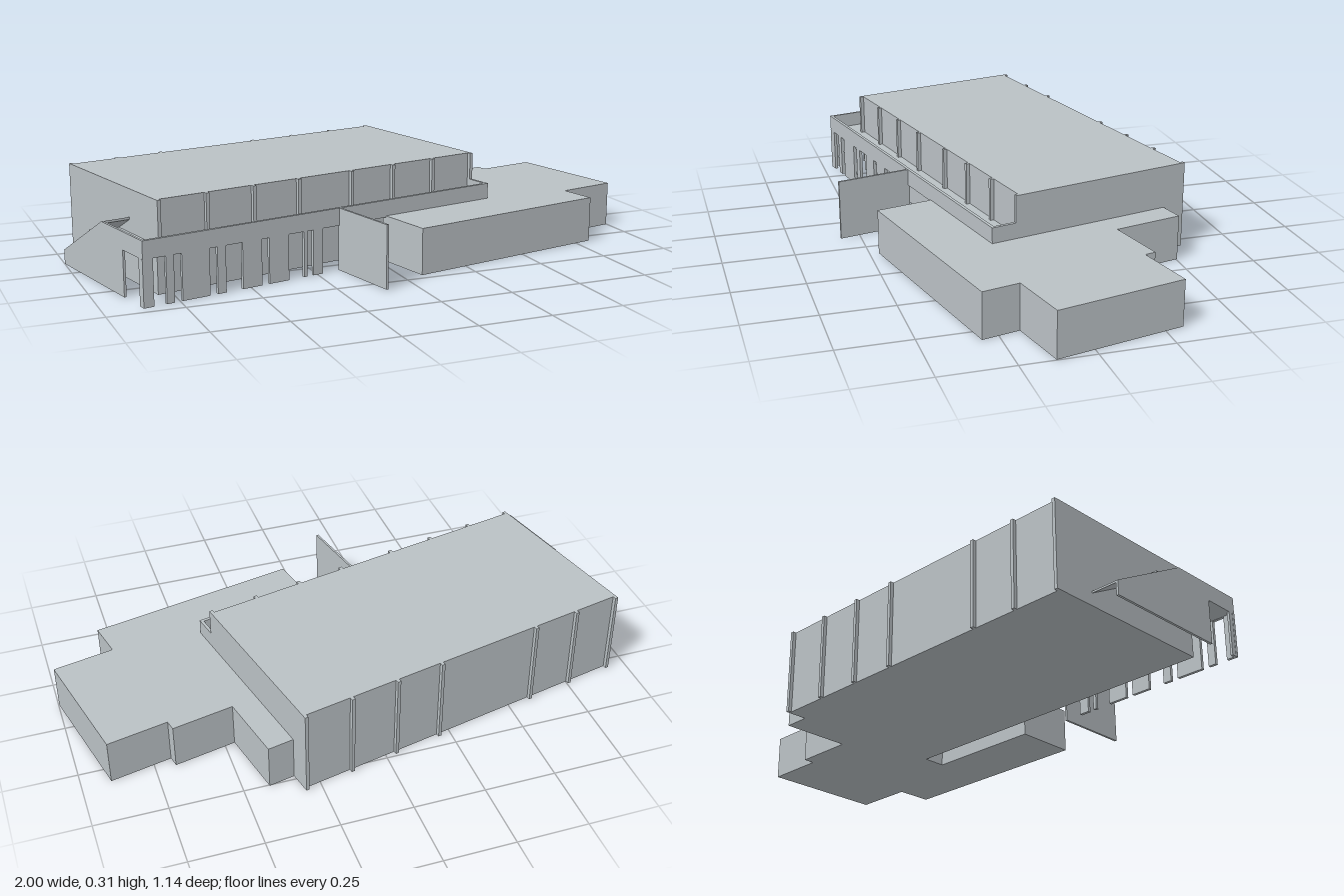
import * as THREE from 'three';

export function createModel() {
  const model = new THREE.Group();
  model.name = 'building';
  const plan = new THREE.Group(); // plan axes: x along the hall, z towards the front
  plan.name = 'rotatedPlan';
  plan.rotation.y = 0.2135;
  model.add(plan);

  const grey = new THREE.MeshStandardMaterial({ color: 0xbac1c5 });
  grey.name = 'concreteGrey';

  const add = (name, geometry) => {
    const mesh = new THREE.Mesh(geometry, grey);
    mesh.name = name;
    plan.add(mesh);
    return mesh;
  };
  // Box from its limits on each axis
  const block = (name, x0, x1, y0, y1, z0, z1) => {
    const g = new THREE.BoxGeometry(x1 - x0, y1 - y0, z1 - z0);
    g.translate((x0 + x1) / 2, (y0 + y1) / 2, (z0 + z1) / 2);
    return add(name, g);
  };
  const polygon = (pts) => new THREE.Shape(pts.map(([x, y]) => new THREE.Vector2(x, y)));
  // Side profile (z, y) extruded from x0 to x1
  const sideProfile = (name, pts, x0, x1) => {
    const g = new THREE.ExtrudeGeometry(polygon(pts.map(([z, y]) => [-z, y])), { depth: x1 - x0, bevelEnabled: false });
    g.rotateY(Math.PI / 2).translate(x0, 0, 0);
    return add(name, g);
  };

  // Main hall with ribs along both long walls
  block('hall', -0.851, 0.418, 0, 0.31, -0.474, 0.167);
  const ribs = [-0.845, -0.672, -0.498, -0.324, -0.11, 0.064, 0.238, 0.412];
  ribs.forEach((x, i) => {
    block('frontRib', x - 0.006, x + 0.006, 0.155, 0.31, 0.16, 0.18);
    if (i !== 3) block('backRib', x - 0.006, x + 0.006, 0, 0.31, -0.487, -0.47);
  });

  // Low annex with a recess beside the hall
  const annex = new THREE.ExtrudeGeometry(polygon([
    [0.41, -0.405], [0.51, -0.405], [0.51, -0.155], [0.73, -0.155], [0.73, -0.116],
    [0.947, -0.116], [0.947, 0.34], [0.728, 0.34], [0.728, 0.472], [-0.033, 0.472],
    [-0.033, 0.25], [0.40, 0.25], [0.40, 0.165], [0.41, 0.165],
  ].map(([x, z]) => [x, -z])), { depth: 0.16, bevelEnabled: false });
  annex.rotateX(-Math.PI / 2);
  add('annex', annex);

  // Canopy: sunken slab with a parapet at the front and the end
  block('canopySlab', -0.945, 0.41, 0.156, 0.163, 0.16, 0.262);
  block('canopySideSlab', -0.945, -0.85, 0.156, 0.163, -0.13, 0.165);
  block('canopyFascia', -0.945, 0.418, 0.155, 0.215, 0.257, 0.268);
  block('canopyEnd', 0.407, 0.418, 0.155, 0.215, 0.16, 0.26);

  // Panels and posts below the fascia, spaced unevenly
  [[-0.875, -0.84], [-0.797, -0.77], [-0.743, -0.647], [-0.62, -0.59], [-0.53, -0.46],
    [-0.433, -0.36], [-0.302, -0.29], [-0.267, -0.23]].forEach(([a, b]) => {
    block('postPanel', (a - 0.055) / 0.977, (b - 0.055) / 0.977, 0, 0.156, 0.257, 0.268);
  });

  // Outer end wall with a sloped back edge and an opening near the corner
  sideProfile('endWall', [
    [-0.33, 0], [0.13, 0], [0.13, 0.155], [0.24, 0.155], [0.24, 0],
    [0.268, 0], [0.268, 0.215], [-0.02, 0.215], [-0.33, 0.05],
  ], -0.951, -0.943);
  // Sloped roof between the end wall and the hall
  sideProfile('slopedRoof', [[-0.33, 0.043], [-0.33, 0.05], [-0.02, 0.215], [-0.02, 0.207]], -0.944, -0.85);

  // Free-standing fin wall in front
  block('finWall', -0.226, -0.218, 0, 0.215, 0.262, 0.535);

  return model;
}
